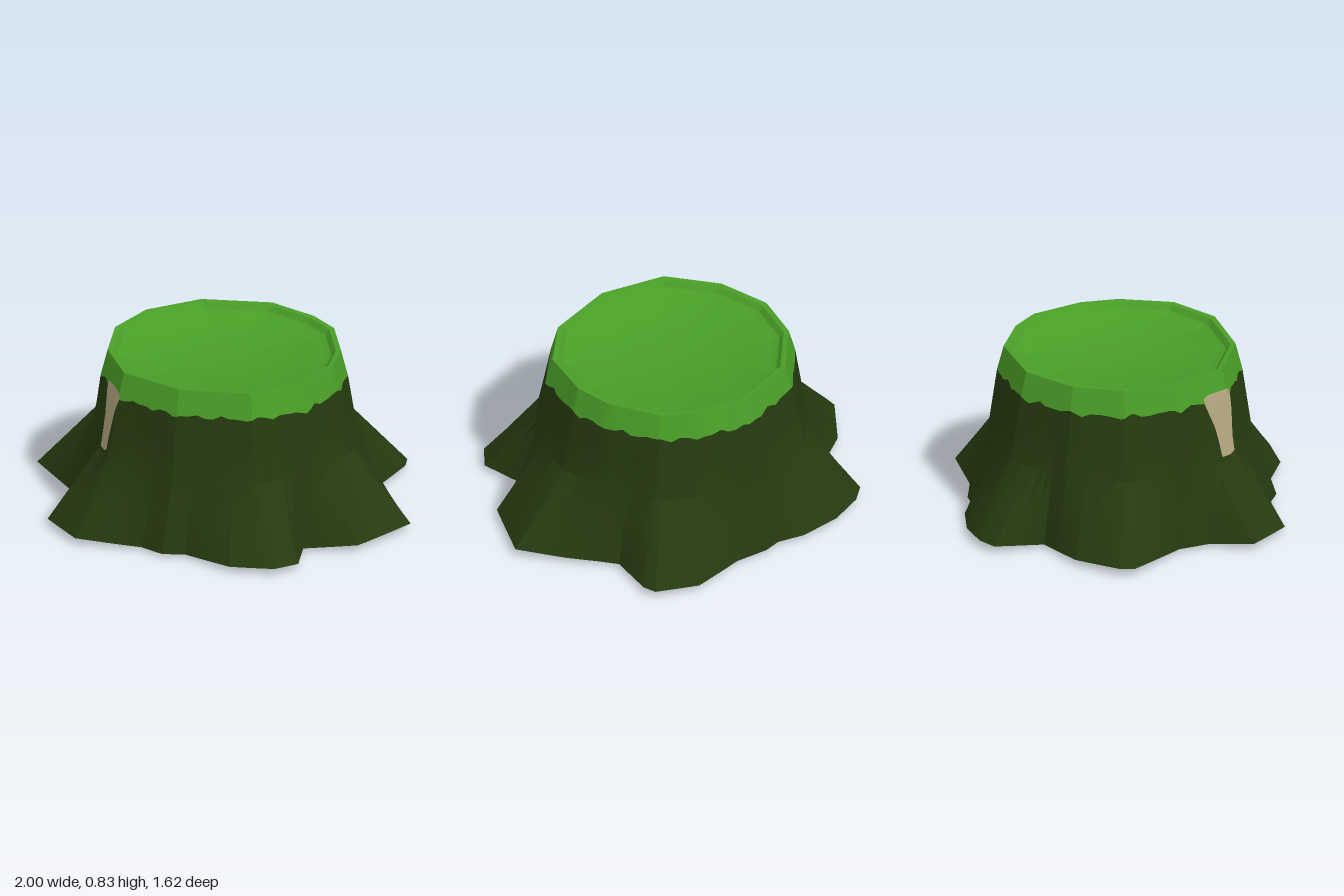
import * as THREE from 'three';
import { toCreasedNormals } from 'three/addons/utils/BufferGeometryUtils.js';

// Outline of the spreading roots on the ground, as [x, z]
const ROOTS = [
  [1, -0.02], [0.86, 0.31], [0.61, 0.42], [0.68, 0.64], [0.6, 0.75], [0.38, 0.8], [0.1, 0.72], [0, 0.77],
  [-0.13, 0.73], [-0.46, 0.8], [-0.68, 0.64], [-0.63, 0.42], [-0.69, 0.27], [-1, 0.04], [-1, -0.03],
  [-0.85, -0.25], [-0.61, -0.4], [-0.68, -0.65], [-0.6, -0.72], [-0.43, -0.78], [-0.22, -0.785],
  [-0.09, -0.745], [0, -0.765], [0.17, -0.75], [0.46, -0.815], [0.67, -0.73], [0.69, -0.66],
  [0.65, -0.41], [0.72, -0.33], [0.83, -0.22],
];
// Outline of the trunk where the moss begins
const TRUNK = [
  [0.62, 0], [0.57, 0.29], [0.37, 0.5], [0, 0.6], [-0.35, 0.52], [-0.55, 0.28], [-0.63, 0],
  [-0.57, -0.27], [-0.36, -0.51], [0, -0.62], [0.27, -0.55], [0.43, -0.45], [0.58, -0.2],
];
const TAU = Math.PI * 2;
const angleOf = ([x, z]) => (Math.atan2(z, x) + TAU) % TAU;

// Radius of a star-shaped outline in direction a
function outlineRadius(points, a) {
  const dx = Math.cos(a), dz = Math.sin(a);
  for (let i = 0; i < points.length; i++) {
    const p = points[i], q = points[(i + 1) % points.length];
    if (dx * p[1] - dz * p[0] > 1e-9 || dx * q[1] - dz * q[0] < -1e-9) continue;
    if (dx * p[0] + dz * p[1] < 0) continue;
    const ex = q[0] - p[0], ez = q[1] - p[1];
    return (p[0] * ez - p[1] * ex) / (dx * ez - dz * ex);
  }
  return 0.6;
}

const MID = 0.38, SEAM = 0.7, TOP = 0.83;
const rootY = (a) => Math.max(0.01, 0.1 * (outlineRadius(ROOTS, a) - 0.6));
const seamY = (a) => SEAM + 0.008 * Math.sin(a * 23) + 0.006 * Math.sin(a * 37 + 1);

// Radius of the stump's side at angle a and height y
function sideRadius(a, y) {
  const root = outlineRadius(ROOTS, a), trunk = outlineRadius(TRUNK, a);
  const mid = trunk * 1.05 + 0.1 * (root - trunk);
  const { mapLinear } = THREE.MathUtils;
  if (y < MID) return mapLinear(y, rootY(a), MID, root, mid);
  if (y < SEAM) return mapLinear(y, MID, SEAM, mid, trunk);
  return mapLinear(y, SEAM, TOP, trunk, trunk * 0.945);
}

// Angles that hit every corner, filled in evenly
const corners = [...ROOTS, ...TRUNK].map(angleOf).sort((a, b) => a - b)
  .filter((a, i, all) => i === 0 || a - all[i - 1] > 0.006);
const fill = Array.from({ length: 90 }, (_, i) => (i / 90) * TAU)
  .filter((a) => corners.every((c) => Math.abs(c - a) > 0.02));
const ANGLES = [...corners, ...fill].sort((a, b) => a - b);

const polar = (a, r, y) => [r * Math.cos(a), y, r * Math.sin(a)];
const side = (yOf) => (a) => polar(a, sideRadius(a, yOf(a)), yOf(a));

// Joins rows of points into a surface
function loft(rows, closed) {
  const n = rows[0].length, pos = rows.flat(2), index = [];
  for (let j = 0; j < rows.length - 1; j++) {
    for (let i = 0; i < (closed ? n : n - 1); i++) {
      const k = (i + 1) % n, a = j * n + i, b = j * n + k;
      index.push(a, a + n, b, b, a + n, b + n);
    }
  }
  const geo = new THREE.BufferGeometry();
  geo.setAttribute('position', new THREE.Float32BufferAttribute(pos, 3));
  geo.setIndex(index);
  return toCreasedNormals(geo, 0.45);
}
const ringLoft = (rings) => loft(rings.map((ring) => ANGLES.map(ring)), true);

export function createModel() {
  const bark = new THREE.MeshStandardMaterial({ name: 'dark bark', color: 0x263a10 });
  const moss = new THREE.MeshStandardMaterial({ name: 'moss green', color: 0x4a9e27 });
  const wood = new THREE.MeshStandardMaterial({ name: 'bare wood', color: 0xb0a57e, side: THREE.DoubleSide });
  const group = new THREE.Group();
  group.name = 'treeStump';
  const add = (name, geo, mat) => {
    const mesh = new THREE.Mesh(geo, mat);
    mesh.name = name;
    group.add(mesh);
  };

  // Underside, root flare and trunk
  add('barkAndRoots', ringLoft([
    () => [0, 0, 0],
    (a) => polar(a, outlineRadius(ROOTS, a) * 0.8, 0),
    side(rootY),
    side(() => 0.2),
    side(() => MID),
    side(() => 0.54),
    side(seamY),
  ]), bark);

  // Moss band, rounded lip and sunken top
  const top = (scale, y) => (a) => polar(a, sideRadius(a, TOP) * scale, y);
  add('mossyTop', ringLoft([
    side(seamY),
    side(() => TOP),
    top(0.955, TOP - 0.003),
    top(0.92, TOP - 0.03),
    top(0.86, TOP - 0.045),
    () => [0, TOP - 0.05, 0],
  ]), moss);

  // Strip of peeled bark: [height, left edge x, right edge x]
  const strip = [
    [0.41, -0.457, -0.42], [0.425, -0.457, -0.4], [0.5, -0.452, -0.39], [0.57, -0.45, -0.375],
    [0.64, -0.456, -0.36], [0.7, -0.46, -0.34], [0.725, -0.455, -0.34], [0.735, -0.43, -0.35],
  ];
  const onSurface = (x, y) => {
    let lo = Math.PI / 2, hi = Math.PI;
    for (let i = 0; i < 30; i++) {
      const a = (lo + hi) / 2;
      if ((sideRadius(a, y) + 0.008) * Math.cos(a) > x) lo = a; else hi = a;
    }
    return polar(lo, sideRadius(lo, y) + 0.008, y);
  };
  add('peeledBark', loft(strip.map(([y, x0, x1]) =>
    [0, 1, 2, 3, 4, 5].map((i) => onSurface(x1 + ((x0 - x1) * i) / 5, y))), false), wood);

  return group;
}
